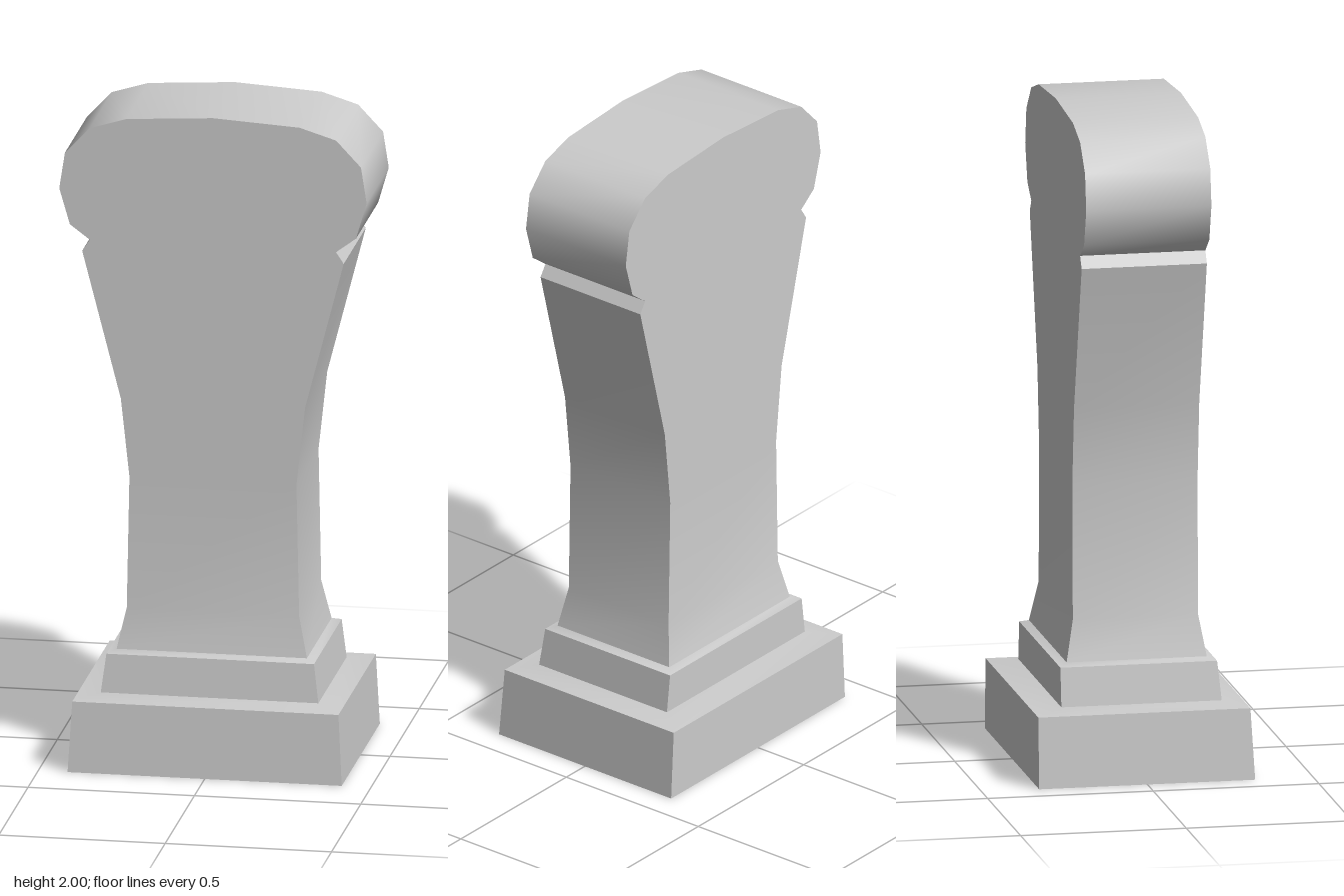
import * as THREE from 'three';
import { toCreasedNormals } from 'three/addons/utils/BufferGeometryUtils.js';

// Rectangular loft; each row is [y, half width, front z, back z]
function loft(name, rows, closeBottom = false) {
  const pos = [];
  const corners = ([y, w, f, b]) => [[-w, y, f], [w, y, f], [w, y, b], [-w, y, b]];
  const quad = (a, b, c, d) => pos.push(...a, ...b, ...c, ...a, ...c, ...d);
  for (let i = 0; i < rows.length - 1; i++) {
    const lo = corners(rows[i]), hi = corners(rows[i + 1]);
    for (let k = 0; k < 4; k++) {
      const n = (k + 1) % 4;
      quad(lo[k], lo[n], hi[n], hi[k]);
    }
  }
  if (closeBottom) {
    const [a, b, c, d] = corners(rows[0]);
    quad(a, d, c, b);
  }
  const geometry = new THREE.BufferGeometry();
  geometry.setAttribute('position', new THREE.Float32BufferAttribute(pos, 3));
  const mesh = new THREE.Mesh(
    toCreasedNormals(geometry, 0.75),
    new THREE.MeshStandardMaterial({ color: 0xcccccc })
  );
  mesh.name = name;
  return mesh;
}

export function createModel() {
  const group = new THREE.Group();
  group.name = 'carvedPost';
  const F = 0.183, B = -0.195;

  // Plinth with a shallow sloping ledge
  group.add(loft('plinth', [
    [0, 0.412, 0.325, -0.327],
    [0.215, 0.4, 0.313, -0.327],
    [0.226, 0.327, 0.241, -0.243],
  ], true));

  // Smaller step above the plinth
  group.add(loft('step', [
    [0.226, 0.327, 0.241, -0.243],
    [0.343, 0.312, 0.23, -0.243],
    [0.352, 0.286, 0.204, -0.219],
  ]));

  // Flared foot and waisted shaft
  group.add(loft('shaft', [
    [0.352, 0.286, 0.204, -0.219],
    [0.475, 0.259, F, B],
    [0.88, 0.251, F, B],
    [1.12, 0.277, F, B],
    [1.57, 0.393, F, B],
    [1.605, 0.37, F, B],
  ]));

  // Rounded head above the notch
  const headProfile = [
    [1.605, 0.37], [1.65, 0.43], [1.76, 0.462], [1.87, 0.445],
    [1.95, 0.37], [1.984, 0.26], [2, 0],
  ];
  group.add(loft('head', headProfile.map(([y, w]) => [y, w, F, B])));

  return group;
}
